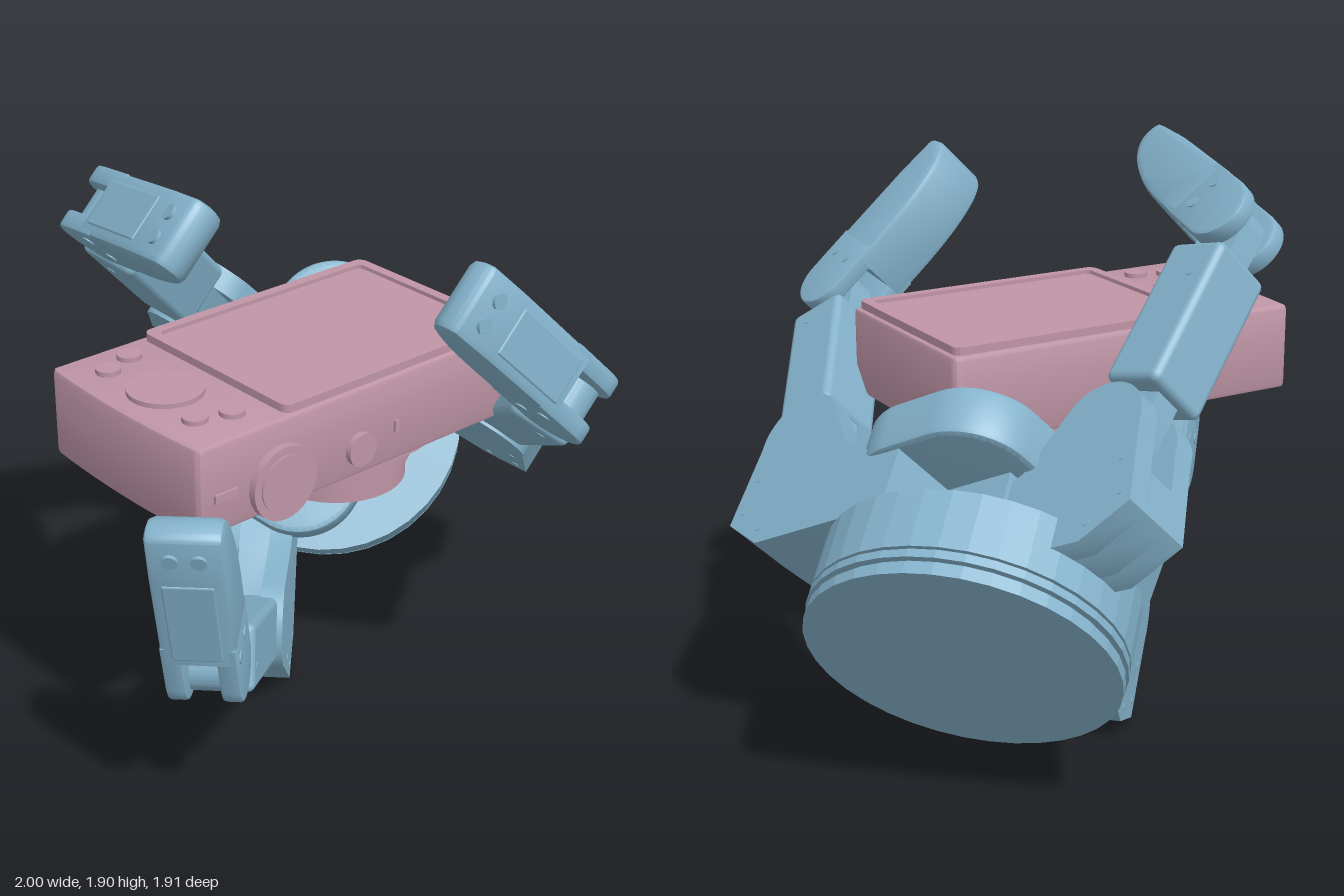
import * as THREE from 'three';
import { toCreasedNormals } from 'three/addons/utils/BufferGeometryUtils.js';
import { RoundedBoxGeometry } from 'three/addons/geometries/RoundedBoxGeometry.js';

const blue = new THREE.MeshStandardMaterial({ color: 0x84b2cb });
const blueFlat = new THREE.MeshStandardMaterial({ color: 0x84b2cb, flatShading: true });
const pink = new THREE.MeshStandardMaterial({ color: 0xbf95a6 });

function add(parent, name, geometry, material, x = 0, y = 0, z = 0) {
  const mesh = new THREE.Mesh(geometry, material);
  mesh.name = name;
  mesh.position.set(x, y, z);
  parent.add(mesh);
  return mesh;
}

// Extrusion centred on z = 0, with an optional bevel kept inside the given depth
function slab(shape, depth, bevel = 0) {
  const g = new THREE.ExtrudeGeometry(shape, {
    depth: depth - 2 * bevel, bevelEnabled: bevel > 0, bevelSize: bevel, bevelThickness: bevel,
    bevelOffset: -bevel, bevelSegments: 2, curveSegments: 12,
  });
  g.translate(0, 0, bevel - depth / 2);
  return toCreasedNormals(g, 0.6);
}

function roundedRect(w, h, r) {
  const s = new THREE.Shape();
  s.absarc(w / 2 - r, h / 2 - r, r, 0, Math.PI / 2);
  s.absarc(-w / 2 + r, h / 2 - r, r, Math.PI / 2, Math.PI);
  s.absarc(-w / 2 + r, -h / 2 + r, r, Math.PI, Math.PI * 1.5);
  s.absarc(w / 2 - r, -h / 2 + r, r, Math.PI * 1.5, Math.PI * 2);
  return s;
}

// A pair of small screw heads on both sides of a finger part
function screws(parent, spots, halfWidth, r = 0.02) {
  for (const [x, y] of spots) for (const s of [-1, 1]) {
    add(parent, 'screw', new THREE.CylinderGeometry(r, r, 0.008, 12).rotateX(Math.PI / 2),
      blue, x, y, s * halfWidth);
  }
}

// Knuckle housing: origin at its hinge, x outward, y along the palm axis
function makeKnuckle() {
  const g = new THREE.Group();
  g.name = 'knuckle';
  const cheek = new THREE.Shape();
  cheek.moveTo(-0.5, -0.4);
  cheek.lineTo(0.03, -0.4);
  cheek.lineTo(0.185, -0.3);
  cheek.absarc(0, 0, 0.155, -0.1, 2.3);
  cheek.lineTo(-0.25, -0.1);
  cheek.lineTo(-0.38, -0.17);
  cheek.lineTo(-0.5, -0.17);
  for (const s of [-1, 1]) add(g, 'knuckleCheek', slab(cheek, 0.075), blue, 0, 0, s * 0.0875);
  const core = new THREE.Shape([[-0.5, -0.4], [0.03, -0.4], [0.185, -0.3], [0.172, -0.16],
    [-0.05, -0.1], [-0.25, -0.1], [-0.38, -0.17], [-0.5, -0.17]].map(p => new THREE.Vector2(...p)));
  add(g, 'knuckleCore', slab(core, 0.1), blue);
  screws(g, [[0.14, -0.26], [0.04, -0.34], [0.12, -0.14]], 0.123, 0.012);
  return g;
}

// Inner finger link: origin at the knuckle hinge, x along the link
function makeInnerLink(length) {
  const g = new THREE.Group();
  g.name = 'innerLink';
  add(g, 'innerLinkBody', new RoundedBoxGeometry(0.5, 0.21, 0.23, 2, 0.025), blue, length - 0.385, -0.01, 0);
  for (const [x, w] of [[0.1, 0.3], [length - 0.1, 0.32]])
    add(g, 'hingeTongue', slab(roundedRect(w, 0.16, 0.079), 0.095), blue, x, 0, 0);
  screws(g, [[0.56, -0.04]], 0.113, 0.016);
  return g;
}

// Fingertip: origin at its hinge, x along the link, -y on the outer side
function makeFingertip() {
  const g = new THREE.Group();
  g.name = 'fingertip';
  const cheek = new THREE.Shape();
  cheek.absarc(0, 0, 0.107, Math.PI / 2, Math.PI * 1.5);
  cheek.lineTo(0.18, -0.1);
  cheek.lineTo(0.18, 0.112);
  for (const s of [-1, 1]) add(g, 'fingertipCheek', slab(cheek, 0.06, 0.01), blue, 0, 0, s * 0.08);
  const body = new THREE.Shape();
  body.moveTo(0.12, -0.104);
  body.lineTo(0.45, -0.088);
  body.lineTo(0.59, -0.07);
  body.quadraticCurveTo(0.615, -0.06, 0.612, -0.01);
  body.bezierCurveTo(0.6, 0.06, 0.48, 0.115, 0.28, 0.116);
  body.lineTo(0.12, 0.112);
  add(g, 'fingertipBody', slab(body, 0.22, 0.022), blue);
  add(g, 'backCover', new RoundedBoxGeometry(0.3, 0.016, 0.15, 2, 0.007), blue, 0.29, -0.092, 0)
    .rotation.z = 0.05;
  for (const s of [-1, 1])
    add(g, 'tipScrew', new THREE.CylinderGeometry(0.024, 0.024, 0.02, 12), blue, 0.53, -0.076, s * 0.04);
  screws(g, [[0.1, 0.04], [0.1, -0.05]], 0.11);
  return g;
}

// Finger joints are [radius, height] in the palm frame; lean tips the links sideways
function makeFinger(name, turn, offset, lean, knuckle, middle, tip) {
  const finger = new THREE.Group();
  finger.name = name;
  finger.rotation.y = turn;
  const dx = middle[0] - knuckle[0], dy = middle[1] - knuckle[1];
  const base = makeKnuckle(), inner = makeInnerLink(Math.hypot(dx, dy)), end = makeFingertip();
  const links = new THREE.Group();
  links.name = 'links';
  base.position.set(...knuckle, offset);
  links.position.copy(base.position);
  links.rotation.x = lean;
  inner.rotation.z = Math.atan2(dy, dx);
  end.position.set(dx, dy, 0);
  end.rotation.z = Math.atan2(tip[1] - middle[1], tip[0] - middle[0]);
  links.add(inner, end);
  finger.add(base, links);
  return finger;
}

function makeHand() {
  const hand = new THREE.Group();
  hand.name = 'gripperHand';
  // Round base with a groove near the mounting end
  for (const [r, y0, y1] of [[0.475, -0.01, 0.025], [0.46, 0.025, 0.04], [0.481, 0.04, 0.065],
    [0.467, 0.065, 0.075], [0.481, 0.075, 0.265]])
    add(hand, 'baseRing', new THREE.CylinderGeometry(r, r, y1 - y0, 36), blueFlat, 0.018, (y0 + y1) / 2, 0);
  // Palm core and rounded palm plate
  add(hand, 'palmCore', new THREE.BoxGeometry(0.46, 0.24, 0.42), blue, 0.01, 0.38, 0);
  const plate = slab(roundedRect(0.59, 0.91, 0.21), 0.17, 0.02).rotateX(-Math.PI / 2);
  add(hand, 'palmPlate', plate, blue, 0.03, 0.555, 0);
  hand.add(
    makeFinger('thumbFinger', 0, 0.068, -0.01, [0.525, 0.565], [0.772, 1.337], [0.42, 1.775]),
    makeFinger('outerFinger', Math.PI, -0.31, 0, [0.505, 0.665], [0.692, 1.4], [0.297, 1.87]),
    makeFinger('lowerFinger', Math.PI * 2 / 3, 0.217, 0.06, [0.735, 0.665], [0.9, 1.397], [0.56, 1.845]),
  );
  // Tilt the hand so that its palm axis points to the upper front right corner
  const out = new THREE.Vector3(-1, 1, -2).normalize();
  const axis = new THREE.Vector3(-1, 1, 1).normalize();
  const side = new THREE.Vector3().crossVectors(out, axis);
  hand.quaternion.setFromRotationMatrix(new THREE.Matrix4().makeBasis(out, axis, side));
  hand.position.set(0.62, 0.53, -0.53);
  return hand;
}

function makeCamera() {
  const cam = new THREE.Group();
  cam.name = 'camera';
  // Body outline seen from above (shape y is -z), with one bowed end
  const s = new THREE.Shape();
  s.moveTo(-0.77, -0.505);
  s.lineTo(0.41, -0.505);
  s.quadraticCurveTo(0.44, -0.505, 0.44, -0.475);
  s.lineTo(0.44, 0.165);
  s.quadraticCurveTo(0.44, 0.195, 0.41, 0.195);
  s.lineTo(-0.77, 0.195);
  s.quadraticCurveTo(-0.79, 0.195, -0.792, 0.165);
  s.quadraticCurveTo(-0.82, -0.155, -0.792, -0.475);
  s.quadraticCurveTo(-0.79, -0.505, -0.77, -0.505);
  add(cam, 'cameraBody', slab(s, 0.28, 0.015).rotateX(-Math.PI / 2), pink, 0, 1.19, 0);
  // Screen with a raised frame
  const frame = roundedRect(0.89, 0.67, 0.03);
  frame.holes.push(roundedRect(0.82, 0.6, 0.02));
  add(cam, 'screenFrame', slab(frame, 0.03).rotateX(-Math.PI / 2), pink, -0.02, 1.34, 0.155);
  add(cam, 'screen', new THREE.BoxGeometry(0.82, 0.015, 0.6), pink, -0.02, 1.335, 0.155);
  // Stepped lens barrel
  const steps = [[0, 0.87], [0.17, 0.87], [0.19, 0.85], [0.222, 0.85], [0.222, 0.93], [0.238, 0.93],
    [0.238, 0.965], [0.252, 0.965], [0.252, 1.0], [0.27, 1.0], [0.27, 1.025], [0.32, 1.025], [0.32, 1.06]];
  const lens = new THREE.LatheGeometry(steps.map(p => new THREE.Vector2(...p)), 40);
  add(cam, 'lens', toCreasedNormals(lens, 0.5), pink, 0.02, 0, 0.155);
  // Control wheel and buttons beside the screen
  for (const [x, z, r] of [[-0.63, 0.15, 0.115], [-0.68, -0.06, 0.038], [-0.575, -0.1, 0.038],
    [-0.68, 0.35, 0.038], [-0.575, 0.385, 0.038]])
    add(cam, 'button', new THREE.CylinderGeometry(r, r, 0.03, 28), pink, x, 1.33, z);
  // Dial, shutter button and slots on the front edge
  for (const [x, r, z] of [[-0.5, 0.115, 0.515], [-0.5, 0.09, 0.52], [-0.2, 0.052, 0.51]])
    add(cam, 'dial', new THREE.CylinderGeometry(r, r, 0.03, 32).rotateX(Math.PI / 2), pink, x, 1.14, z);
  add(cam, 'slot', new THREE.BoxGeometry(0.08, 0.025, 0.012), pink, -0.7, 1.165, 0.508);
  add(cam, 'slot', new THREE.BoxGeometry(0.016, 0.04, 0.012), pink, -0.055, 1.165, 0.508);
  return cam;
}

export function createModel() {
  const model = new THREE.Group();
  model.name = 'gripperHoldingCamera';
  model.add(makeHand(), makeCamera());
  return model;
}
